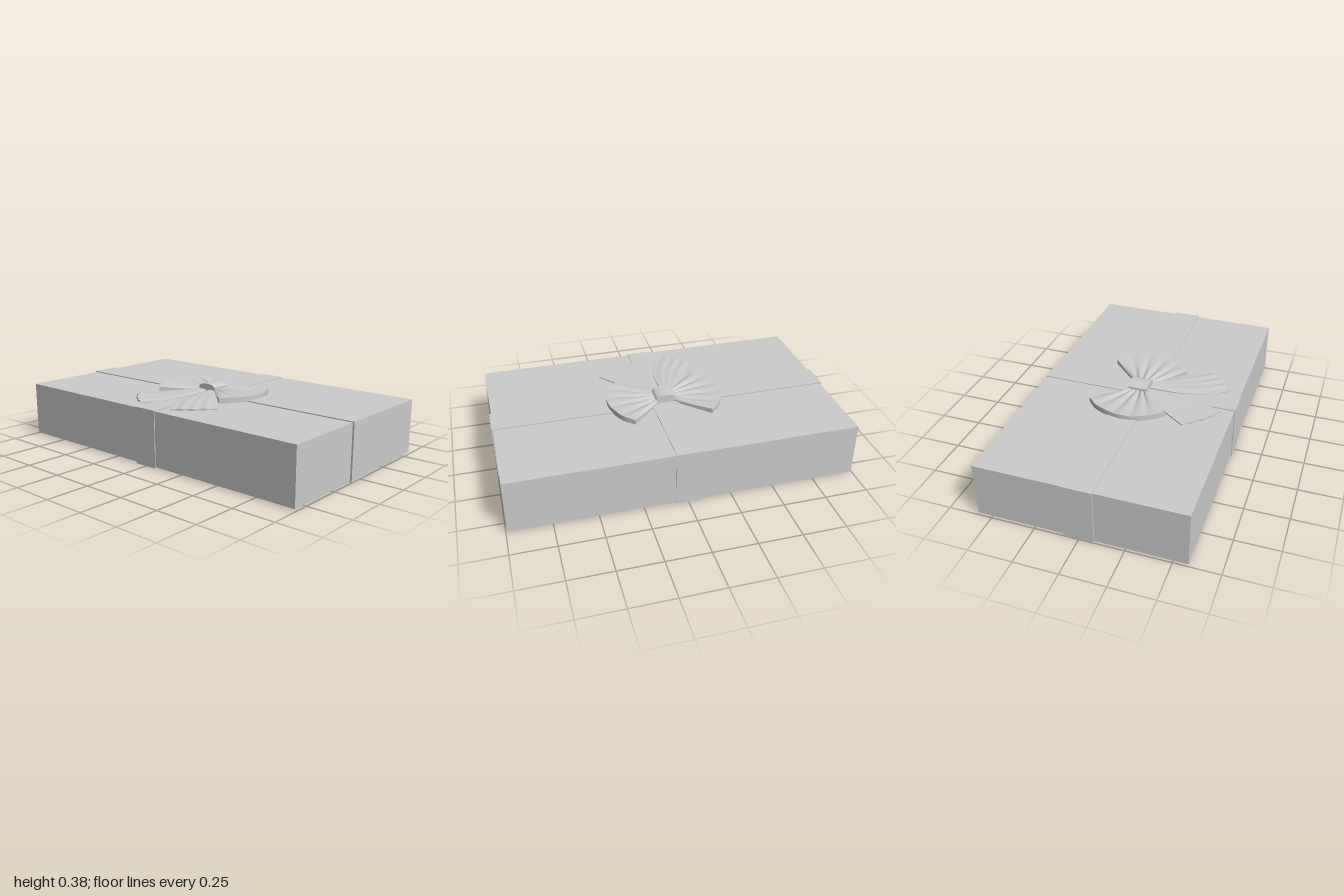
import * as THREE from 'three';

const mat = new THREE.MeshStandardMaterial({ color: 0xcccccc, side: THREE.DoubleSide });
const lerp = THREE.MathUtils.lerp;
const BASE = 0.322; // height of the box lid
const CX = -0.0165; // bow centre line

function slab(name, x0, x1, y0, y1, z) {
  const m = new THREE.Mesh(new THREE.BoxGeometry(x1 - x0, y1 - y0, z * 2), mat);
  m.position.set((x0 + x1) / 2, (y0 + y1) / 2, 0);
  m.name = name;
  return m;
}

const curve = pts => new THREE.CatmullRomCurve3(pts.map(([x, z]) => new THREE.Vector3(x, 0, z)));

// Smooth surface over a grid of point(u, v)
function surface(nu, nv, flip, point) {
  const pos = [], idx = [];
  for (let i = 0; i <= nu; i++) for (let j = 0; j <= nv; j++) pos.push(...point(i / nu, j / nv));
  for (let i = 0; i < nu; i++) for (let j = 0; j < nv; j++) {
    const a = i * (nv + 1) + j, b = a + 1, c = a + nv + 1, d = c + 1;
    if (flip) idx.push(a, c, b, b, c, d);
    else idx.push(a, b, c, b, d, c);
  }
  const g = new THREE.BufferGeometry();
  g.setAttribute('position', new THREE.Float32BufferAttribute(pos, 3));
  g.setIndex(idx);
  g.computeVertexNormals();
  return new THREE.Mesh(g, mat);
}

// Folded cloth: a top surface with walls dropped to the lid along both sides and the far end
function cloth(name, nu, nv, flip, point) {
  const group = new THREE.Group();
  group.name = name;
  const wall = (n, f, edge) => surface(1, n, f, (h, t) => {
    const [x, y, z] = edge(t);
    return [x, lerp(BASE, y, h), z];
  });
  group.add(
    surface(nu, nv, flip, point),
    wall(nv, !flip, t => point(1, t)),
    wall(nu, flip, t => point(t, 1)),
    wall(nu, !flip, t => point(t, 0)),
  );
  return group;
}

// Pleated fan-shaped loop of the bow
function bowLoop(name, s) {
  const rim = curve([[0.228, -0.233], [0.285, -0.175], [0.325, -0.09], [0.342, 0],
    [0.325, 0.09], [0.285, 0.16], [0.235, 0.222]]);
  return cloth(name, 10, 50, s < 0, (u, v) => {
    const r = rim.getPoint(v);
    const fold = 1 - Math.abs(Math.sin(Math.PI * 5 * v));
    const y = 0.354 - 0.012 * fold * (1 - 0.8 * u * u) - 0.006 * (1 - u);
    return [CX + s * lerp(0.045, r.x, u), y, lerp(lerp(-0.05, 0.05, v), r.z, u)];
  });
}

// Flaring tail with a ruffled end
function bowTail(name, s) {
  const inner = curve([[0.005, 0.04], [0.008, 0.24], [0.045, 0.39], [0.115, 0.51]]);
  const outer = curve([[0.07, 0.04], [0.165, 0.16], [0.235, 0.245], [0.305, 0.338]]);
  return cloth(name, 16, 40, s > 0, (u, v) => {
    const a = inner.getPoint(u), b = outer.getPoint(u);
    const bulge = u ** 4 * (0.018 * Math.sin(Math.PI * v) - 0.009 * Math.abs(Math.sin(Math.PI * 4 * v)));
    const y = 0.334 - 0.004 * u * (1 - Math.cos(Math.PI * 8 * v)) / 2
      - 0.006 * Math.abs(2 * v - 1) ** 4 + 0.008 * (1 - u) ** 2;
    return [CX * (1 - u) + s * (lerp(a.x, b.x, v) + 0.67 * bulge), y, lerp(a.z, b.z, v) + 0.74 * bulge];
  });
}

// Domed band over the centre of the bow
function knot() {
  const s = new THREE.Shape();
  s.moveTo(-0.058, BASE);
  s.lineTo(-0.058, 0.358);
  s.bezierCurveTo(-0.045, 0.381, 0.045, 0.381, 0.058, 0.358);
  s.lineTo(0.058, BASE);
  const g = new THREE.ExtrudeGeometry(s, { depth: 0.114, bevelEnabled: false, curveSegments: 16 });
  g.translate(CX, 0, -0.057);
  const m = new THREE.Mesh(g, mat);
  m.name = 'bowKnot';
  return m;
}

export function createModel() {
  const model = new THREE.Group();
  model.name = 'giftBox';
  model.add(
    slab('box', -0.99, 0.99, 0.007, BASE, 0.58),
    slab('longRibbon', -1, 1, 0.002, 0.328, 0.083),
    slab('crossRibbon', -0.075, 0.07, 0, 0.327, 0.585),
  );
  const bow = new THREE.Group();
  bow.name = 'bow';
  for (const [side, s] of [['left', 1], ['right', -1]])
    bow.add(bowLoop(side + 'BowLoop', s), bowTail(side + 'BowTail', s));
  bow.add(knot());
  model.add(bow);
  return model;
}
